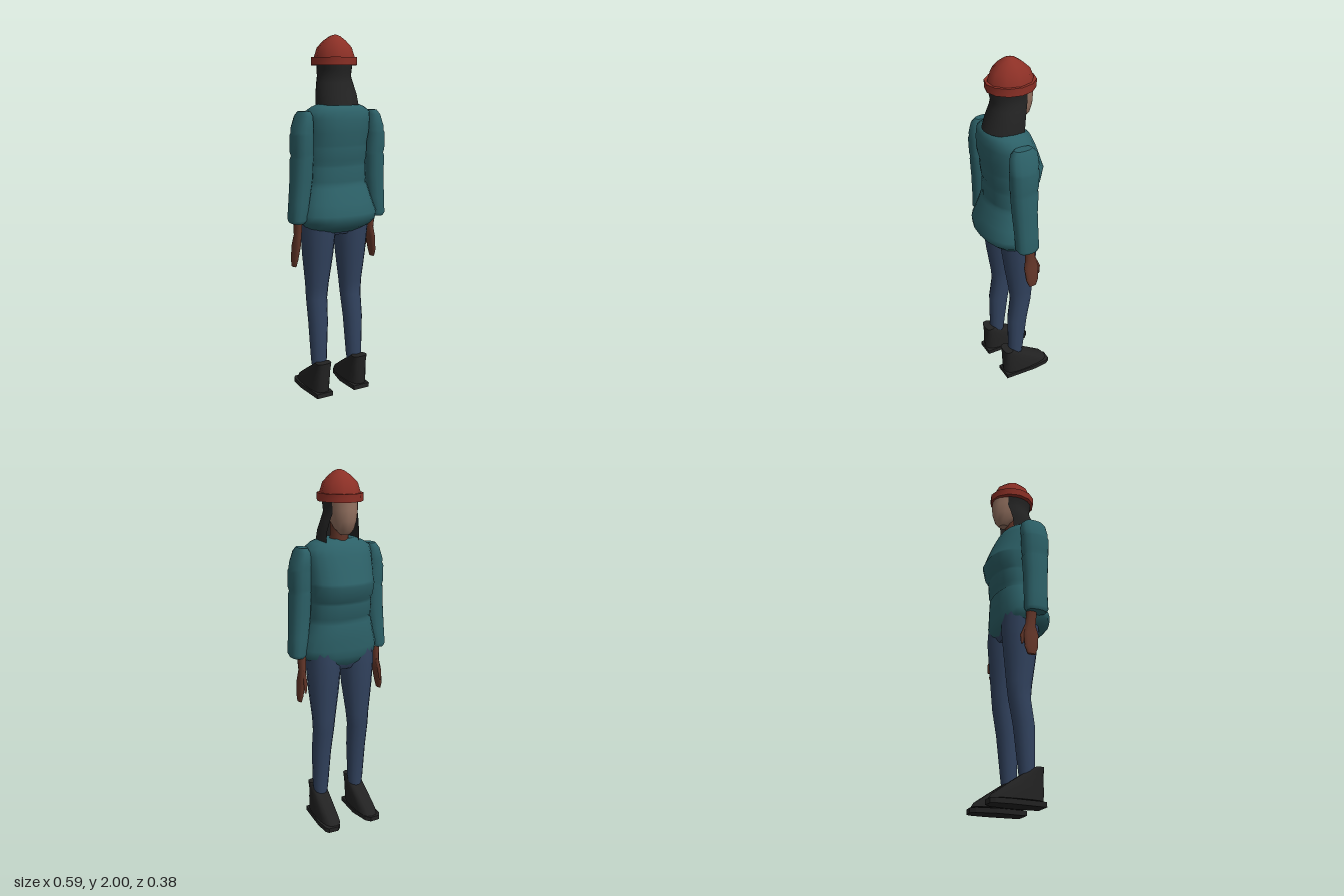
import * as THREE from 'three';

const mat = (name, color, side = THREE.FrontSide) => {
  const m = new THREE.MeshStandardMaterial({ color, side });
  m.name = name;
  return m;
};

// Smooth skin through rings listed bottom to top as [y, x0, x1, z0, z1].
// power below 1 makes the section boxier; arc = [start, end] leaves it open.
function loft(rings, { sides = 14, power = 1, arc = null, drop = 0 } = {}) {
  const pos = [], idx = [];
  const n = arc ? sides + 1 : sides;
  const bend = (v) => Math.sign(v) * Math.abs(v) ** power;
  const ringPoint = ([y, x0, x1, z0, z1], j, row) => {
    const a = arc ? arc[0] + (arc[1] - arc[0]) * j / sides : 2 * Math.PI * j / sides;
    const edge = Math.abs(2 * j / sides - 1) ** 4;
    return [(x0 + x1) / 2 + (x1 - x0) / 2 * bend(Math.cos(a)),
      y - (row === 0 ? drop * edge : 0),
      (z0 + z1) / 2 - (z1 - z0) / 2 * bend(Math.sin(a))];
  };
  rings.forEach((r, i) => {
    for (let j = 0; j < n; j++) pos.push(...ringPoint(r, j, i));
  });
  for (let i = 0; i < rings.length - 1; i++) {
    for (let j = 0; j < sides; j++) {
      const k = (j + 1) % n, a = i * n, b = a + n;
      idx.push(a + j, a + k, b + k, a + j, b + k, b + j);
    }
  }
  // Flat end caps with their own vertices
  if (!arc) {
    for (const row of [0, rings.length - 1]) {
      const r = rings[row], c = pos.length / 3;
      pos.push((r[1] + r[2]) / 2, r[0], (r[3] + r[4]) / 2);
      for (let j = 0; j < n; j++) pos.push(...ringPoint(r, j, row));
      for (let j = 0; j < n; j++) {
        const p = c + 1 + j, q = c + 1 + (j + 1) % n;
        idx.push(c, ...(row ? [p, q] : [q, p]));
      }
    }
  }
  const g = new THREE.BufferGeometry();
  g.setAttribute('position', new THREE.Float32BufferAttribute(pos, 3));
  g.setIndex(idx);
  g.computeVertexNormals();
  return g;
}

const flip = (rings, s) => s > 0 ? rings : rings.map(([y, a, b, c, d]) => [y, -b, -a, c, d]);

export function createModel() {
  const root = new THREE.Group();
  const red = mat('red knit', 0x8c3026);
  const teal = mat('teal jacket', 0x2c6067);
  const denim = mat('blue denim', 0x32435f);
  const black = mat('black leather', 0x222222);
  const hairBlack = mat('black hair', 0x232323, THREE.DoubleSide);
  const face = mat('light skin', 0x92705f);
  const skin = mat('brown skin', 0x623528);
  const add = (name, geometry, material) => {
    const m = new THREE.Mesh(geometry, material);
    m.name = name;
    root.add(m);
    return m;
  };

  // Quilted jacket body, fuller at the chest and hem
  add('jacketBody', loft([
    [0.945, -0.13, 0.13, -0.075, 0.10],
    [0.975, -0.19, 0.19, -0.10, 0.15],
    [1.01, -0.222, 0.222, -0.115, 0.185],
    [1.05, -0.228, 0.228, -0.118, 0.188],
    [1.11, -0.208, 0.208, -0.118, 0.168],
    [1.195, -0.185, 0.185, -0.118, 0.14],
    [1.21, -0.175, 0.175, -0.103, 0.128],
    [1.23, -0.18, 0.18, -0.122, 0.132],
    [1.305, -0.178, 0.178, -0.13, 0.132],
    [1.32, -0.174, 0.174, -0.128, 0.128],
    [1.345, -0.182, 0.182, -0.15, 0.138],
    [1.41, -0.186, 0.186, -0.166, 0.146],
    [1.425, -0.184, 0.184, -0.158, 0.142],
    [1.49, -0.188, 0.188, -0.135, 0.158],
    [1.56, -0.19, 0.19, -0.105, 0.156],
    [1.60, -0.185, 0.185, -0.085, 0.15],
    [1.625, -0.15, 0.15, -0.06, 0.135],
    [1.645, -0.10, 0.10, -0.035, 0.105],
  ], { sides: 20, power: 0.88 }), teal);

  // Jeans: hips and both legs
  add('hips', loft([
    [0.93, -0.15, 0.15, -0.07, 0.08],
    [0.98, -0.19, 0.19, -0.10, 0.11],
    [1.06, -0.19, 0.19, -0.10, 0.12],
  ]), denim);

  for (const s of [-1, 1]) {
    const side = s > 0 ? 'left' : 'right';
    const part = (name, rings, material, opts) => add(side + name, loft(flip(rings, s), opts), material);

    part('Leg', [
      [0.13, 0.08, 0.15, -0.012, 0.06],
      [0.20, 0.07, 0.16, -0.02, 0.07],
      [0.42, 0.058, 0.168, -0.045, 0.072],
      [0.56, 0.05, 0.17, -0.07, 0.052],
      [0.64, 0.042, 0.173, -0.078, 0.06],
      [0.80, 0.02, 0.19, -0.092, 0.085],
      [0.95, 0.005, 0.20, -0.105, 0.105],
      [1.04, 0.0, 0.20, -0.10, 0.11],
    ], denim);

    // Quilted sleeve
    part('Sleeve', [
      [1.01, 0.215, 0.285, -0.025, 0.085],
      [1.03, 0.20, 0.294, -0.035, 0.098],
      [1.12, 0.185, 0.289, -0.032, 0.10],
      [1.25, 0.168, 0.282, -0.03, 0.108],
      [1.355, 0.165, 0.278, -0.036, 0.116],
      [1.37, 0.165, 0.272, -0.03, 0.112],
      [1.39, 0.165, 0.278, -0.036, 0.118],
      [1.48, 0.165, 0.277, -0.04, 0.122],
      [1.495, 0.165, 0.27, -0.036, 0.118],
      [1.52, 0.165, 0.268, -0.042, 0.12],
      [1.58, 0.17, 0.246, -0.035, 0.112],
      [1.605, 0.18, 0.23, -0.01, 0.09],
    ], teal, { power: 0.85 });

    // Hand hanging flat against the thigh, with a thumb toward the front
    part('Hand', [
      [0.76, 0.242, 0.262, -0.025, 0.02],
      [0.80, 0.235, 0.264, -0.04, 0.036],
      [0.88, 0.22, 0.258, -0.042, 0.044],
      [0.935, 0.212, 0.25, -0.026, 0.032],
      [1.03, 0.208, 0.256, -0.018, 0.04],
    ], skin, { sides: 10 });
    part('Thumb', [
      [0.82, 0.23, 0.242, -0.054, -0.042],
      [0.87, 0.222, 0.245, -0.058, -0.03],
      [0.94, 0.22, 0.24, -0.028, 0.0],
    ], skin, { sides: 6 });

    // Boot: high heel cuff sloping to a low toe
    part('Shoe', [
      [0.03, 0.065, 0.177, -0.182, 0.108],
      [0.055, 0.067, 0.175, -0.165, 0.11],
      [0.10, 0.068, 0.172, -0.10, 0.11],
      [0.15, 0.07, 0.165, -0.025, 0.11],
      [0.20, 0.072, 0.163, 0.055, 0.112],
    ], black, { sides: 16, power: 0.7 });

    // Tapered sole
    const outline = new THREE.Shape();
    [[0.07, -0.11], [0.17, -0.11], [0.184, 0.08], [0.178, 0.165], [0.165, 0.187],
      [0.108, 0.19], [0.085, 0.165], [0.062, 0.05]]
      .forEach(([x, y], i) => i ? outline.lineTo(x * s, y) : outline.moveTo(x * s, y));
    const sole = new THREE.ExtrudeGeometry(outline, { depth: 0.026, bevelEnabled: false });
    add(side + 'Sole', sole.rotateX(-Math.PI / 2), black);
  }

  // Neck and face
  add('neck', loft([
    [1.58, -0.06, 0.06, -0.045, 0.085],
    [1.66, -0.048, 0.048, -0.045, 0.06],
    [1.74, -0.048, 0.048, -0.05, 0.06],
  ]), skin);
  add('face', loft([
    [1.672, -0.025, 0.025, -0.085, -0.03],
    [1.70, -0.05, 0.05, -0.112, 0.01],
    [1.745, -0.066, 0.066, -0.128, 0.06],
    [1.80, -0.077, 0.077, -0.131, 0.08],
    [1.87, -0.08, 0.08, -0.122, 0.09],
  ]), face);

  // Hair: open at the face, flaring over the collar at the back
  add('hair', loft([
    [1.635, -0.116, 0.116, -0.085, 0.146],
    [1.69, -0.112, 0.112, -0.09, 0.128],
    [1.75, -0.098, 0.098, -0.10, 0.106],
    [1.785, -0.087, 0.087, -0.11, 0.10],
    [1.82, -0.088, 0.088, -0.11, 0.108],
    [1.87, -0.095, 0.095, -0.11, 0.112],
  ], { sides: 18, arc: [Math.PI * 0.82, Math.PI * 2.18], drop: 0.035 }), hairBlack);

  // Knit cap: rounded crown and turned-up band
  add('capCrown', loft([
    [1.86, -0.105, 0.11, -0.128, 0.118],
    [1.89, -0.102, 0.106, -0.124, 0.114],
    [1.935, -0.09, 0.092, -0.105, 0.098],
    [1.97, -0.058, 0.06, -0.066, 0.064],
    [1.993, -0.026, 0.03, -0.03, 0.034],
    [2.0, -0.008, 0.012, -0.01, 0.014],
  ], { sides: 10 }), red);
  add('capBand', loft([
    [1.842, -0.118, 0.12, -0.137, 0.127],
    [1.884, -0.119, 0.121, -0.139, 0.129],
  ], { sides: 12 }), red);

  return root;
}
